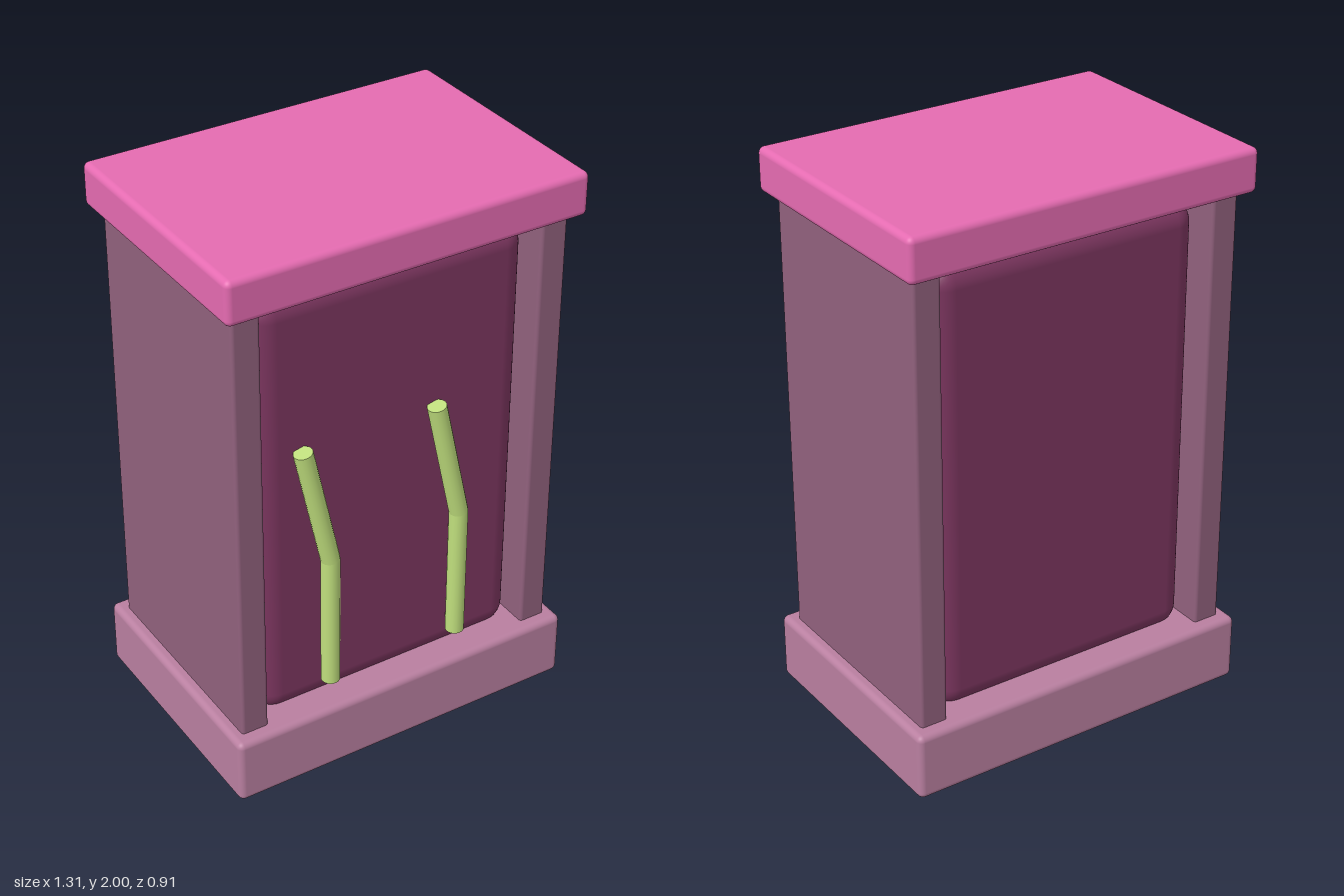
import * as THREE from 'three';
import { RoundedBoxGeometry } from 'three/addons/geometries/RoundedBoxGeometry.js';

const paint = (color) => new THREE.MeshStandardMaterial({ color });
const roofPink = paint(0xe56bb1);
const basePink = paint(0xb97fa0);
const wallMauve = paint(0x91617d);
const panelPlum = paint(0x7d3660);
const stemGreen = paint(0xc0df7d);

// Rounded block standing on height y0
function block(name, material, w, d, y0, y1, radius, x = 0) {
  const mesh = new THREE.Mesh(new RoundedBoxGeometry(w, y1 - y0, d, 4, radius), material);
  mesh.name = name;
  mesh.position.set(x, (y0 + y1) / 2, 0);
  return mesh;
}

// Straight round rod between two points
function rod(name, a, b, radius) {
  const dir = b.clone().sub(a);
  const mesh = new THREE.Mesh(new THREE.CylinderGeometry(radius, radius, dir.length(), 16), stemGreen);
  mesh.name = name;
  mesh.position.copy(a).add(b).multiplyScalar(0.5);
  mesh.quaternion.setFromUnitVectors(new THREE.Vector3(0, 1, 0), dir.normalize());
  return mesh;
}

// Upright stem with a leaning upper half
function bentStem(x) {
  const stem = new THREE.Group();
  const r = 0.033;
  const foot = new THREE.Vector3(0, 0.31, 0);
  const bend = new THREE.Vector3(0, 0.81, 0);
  const tip = new THREE.Vector3(-0.1, 1.262, 0);
  const joint = new THREE.Mesh(new THREE.SphereGeometry(r, 16, 12), stemGreen);
  joint.name = 'stemJoint';
  joint.position.copy(bend);
  stem.add(rod('lowerStem', foot, bend, r), joint, rod('upperStem', bend, tip, r));
  stem.position.set(x, 0, 0.377);
  return stem;
}

export function createModel() {
  const model = new THREE.Group();
  model.name = 'cabinet';

  // Plinth, roof slab and inner body
  model.add(
    block('base', basePink, 1.31, 0.91, 0, 0.245, 0.022),
    block('roof', roofPink, 1.31, 0.91, 1.845, 2, 0.022),
    block('innerPanel', panelPlum, 1.01, 0.7, 0.215, 1.82, 0.08)
  );

  // Side walls, sunk slightly into base and roof
  for (const side of [-1, 1]) {
    model.add(block(side > 0 ? 'leftWall' : 'rightWall', wallMauve, 0.1, 0.81, 0.22, 1.87, 0.012, side * 0.565));
  }

  // Bent stems on the front
  for (const x of [-0.255, 0.25]) {
    const stem = bentStem(x);
    stem.name = x > 0 ? 'leftStem' : 'rightStem';
    model.add(stem);
  }
  return model;
}
